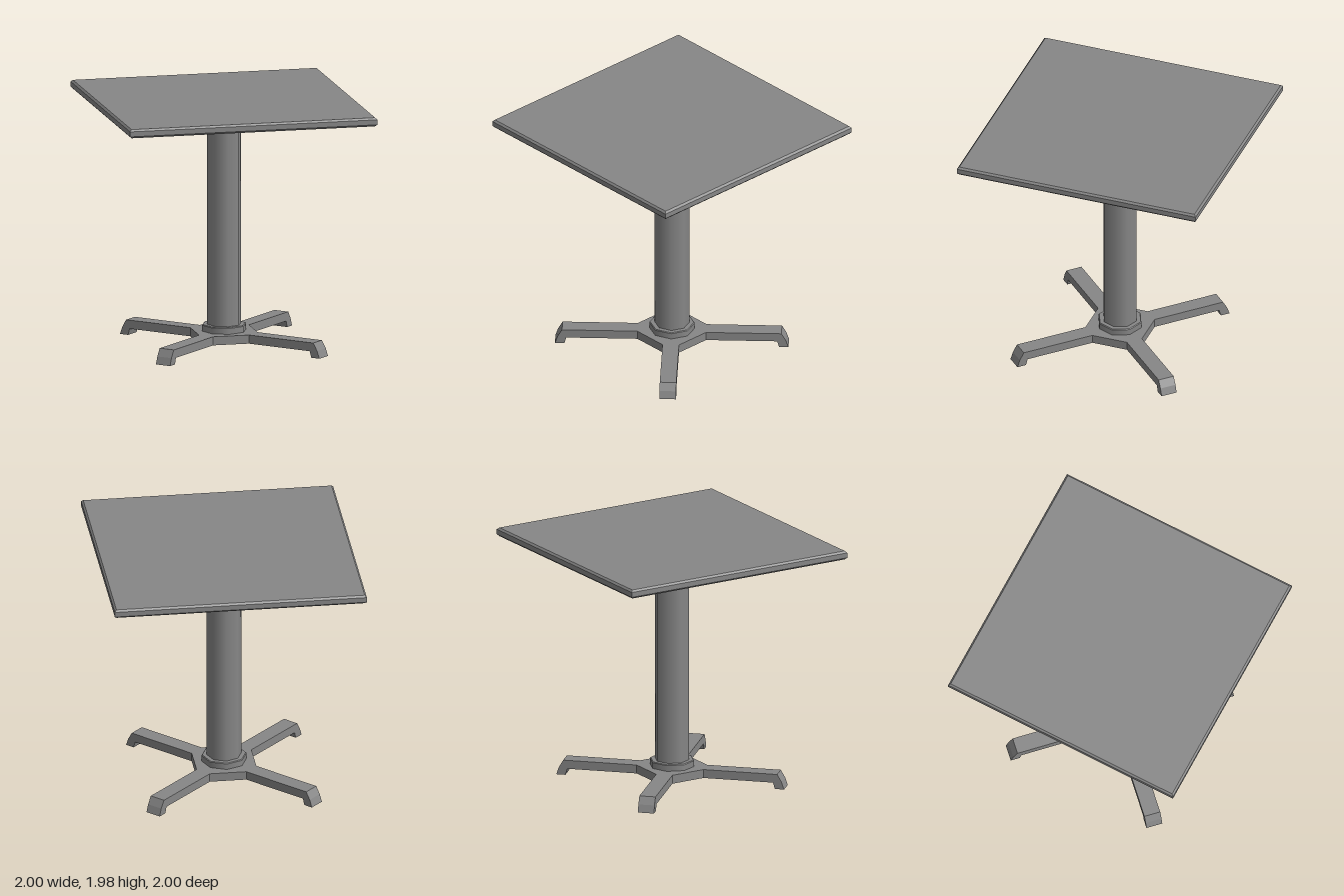
import * as THREE from 'three';

const material = new THREE.MeshStandardMaterial({ color: 0x878787 });
const SIDES = 8;

function add(parent, geometry, name) {
  const mesh = new THREE.Mesh(geometry, material);
  mesh.name = name;
  parent.add(mesh);
  return mesh;
}

// Upright eight-sided band with smooth normals
function band(parent, name, rTop, rBottom, y0, y1) {
  const g = new THREE.CylinderGeometry(rTop, rBottom, y1 - y0, SIDES);
  g.translate(0, (y0 + y1) / 2, 0);
  return add(parent, g, name);
}

const shapeOf = (pts) => new THREE.Shape(pts.map(([x, y]) => new THREE.Vector2(x, y)));

export function createModel() {
  const table = new THREE.Group();
  table.name = 'pedestalTable';

  // Square top with bevelled rims
  const half = 1, bevel = 0.015, thick = 0.07;
  const s = half - bevel;
  const topGeo = new THREE.ExtrudeGeometry(shapeOf([[-s, -s], [s, -s], [s, s], [-s, s]]), {
    depth: thick - 2 * bevel, bevelEnabled: true,
    bevelThickness: bevel, bevelSize: bevel, bevelSegments: 1,
  });
  topGeo.rotateX(-Math.PI / 2);
  topGeo.translate(0, 1.907 + bevel, 0);
  add(table, topGeo, 'tableTop');

  // Column and its collars, each with a slim chamfer on its free rim
  band(table, 'column', 0.137, 0.137, 0.12, 1.907);
  const upper = new THREE.Group();
  upper.name = 'upperCollar';
  band(upper, 'collarBand', 0.179, 0.179, 1.824, 1.907);
  band(upper, 'collarChamfer', 0.179, 0.173, 1.818, 1.824);
  const lower = new THREE.Group();
  lower.name = 'lowerCollar';
  band(lower, 'collarBand', 0.179, 0.179, 0.12, 0.167);
  band(lower, 'collarChamfer', 0.173, 0.179, 0.167, 0.173);
  table.add(upper, lower);

  // Base hub: flats between the legs, corners where the legs join
  const a = 0.145, b = 0.237;
  const hubGeo = new THREE.ExtrudeGeometry(
    shapeOf([[b, -a], [b, a], [a, b], [-a, b], [-b, a], [-b, -a], [-a, -b], [a, -b]]),
    { depth: 0.069, bevelEnabled: false });
  hubGeo.rotateX(-Math.PI / 2);
  hubGeo.translate(0, 0.051, 0);
  add(table, hubGeo, 'baseHub');

  // Four diagonal legs with turned-down feet
  const width = 0.13;
  const legGeo = new THREE.ExtrudeGeometry(
    shapeOf([[0.27, 0.051], [0.83, 0.051], [0.845, 0], [0.919, 0], [0.898, 0.06], [0.863, 0.12], [0.27, 0.12]]),
    { depth: width, bevelEnabled: false });
  legGeo.translate(0, 0, -width / 2);
  for (let i = 0; i < 4; i++) {
    add(table, legGeo, 'leg').rotation.y = Math.PI / 4 + i * Math.PI / 2;
  }

  return table;
}
